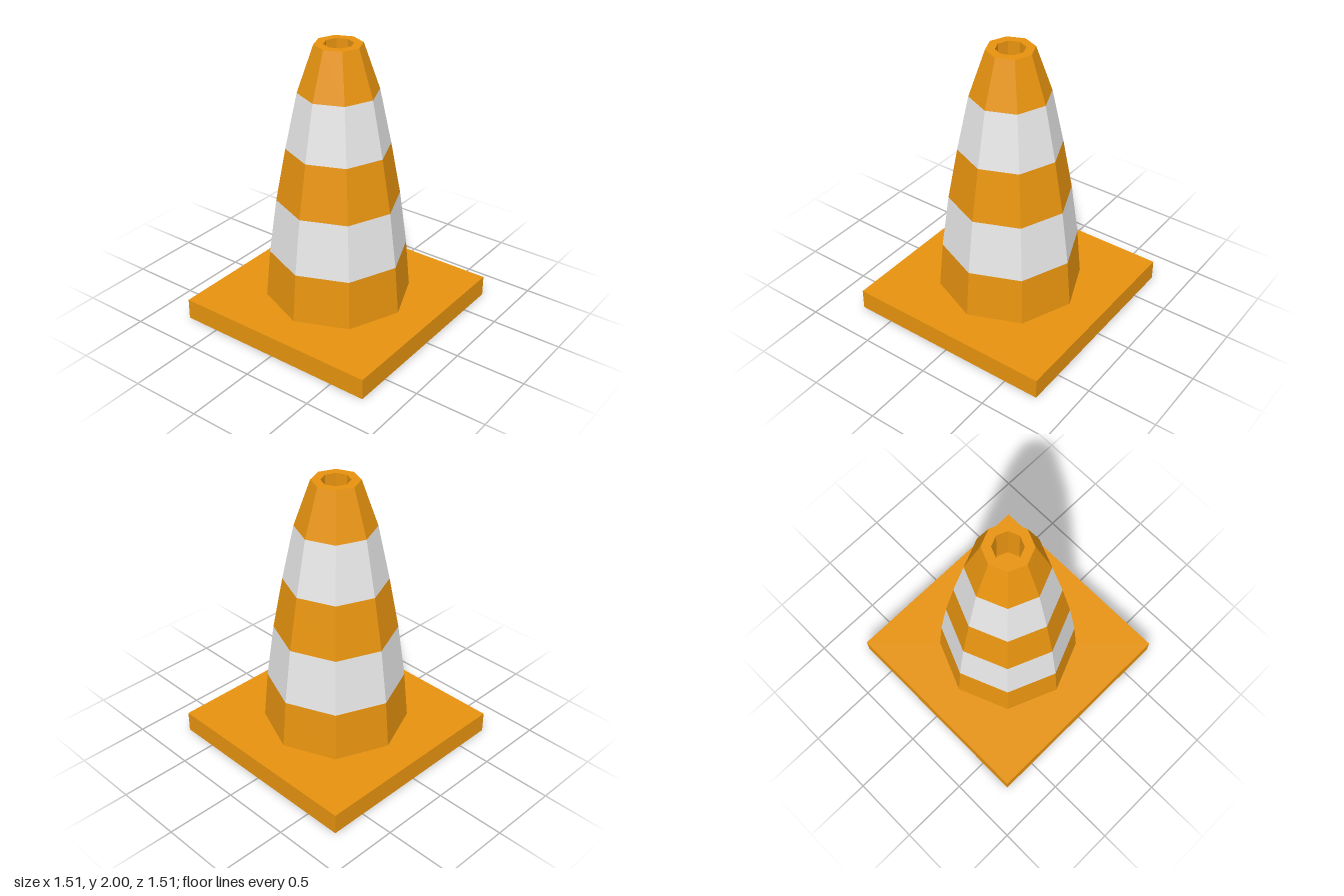
import * as THREE from 'three';

const SIDES = 8;

// Faceted ring swept from [radius, y] points, listed upwards along the outside
function facetedRing(points) {
  const profile = points.map(([r, y]) => new THREE.Vector2(r, y));
  const geometry = new THREE.LatheGeometry(profile, SIDES).toNonIndexed();
  geometry.computeVertexNormals();
  return geometry;
}

export function createModel() {
  const orange = new THREE.MeshStandardMaterial({ color: 0xe7930f });
  orange.name = 'orange';
  const white = new THREE.MeshStandardMaterial({ color: 0xe7e7e7 });
  white.name = 'white';

  const group = new THREE.Group();
  group.name = 'trafficCone';
  const add = (name, geometry, material) => {
    const mesh = new THREE.Mesh(geometry, material);
    mesh.name = name;
    group.add(mesh);
    return mesh;
  };

  // Square foot plate
  add('base', new THREE.BoxGeometry(1.51, 0.15, 1.51), orange).position.y = 0.075;

  // Bulging cone body, in alternating bands
  const profile = [[0.513, 0.15], [0.482, 0.5], [0.428, 0.9], [0.358, 1.28], [0.275, 1.675], [0.163, 2]];
  const names = ['lowerBand', 'lowerStripe', 'middleBand', 'upperStripe', 'tip'];
  names.forEach((name, i) => {
    const points = [profile[i], profile[i + 1]];
    // The tip carries the rim and the hole
    if (name === 'tip') points.push([0.1, 2], [0.1, 1.68], [0, 1.68]);
    add(name, facetedRing(points), i % 2 ? white : orange);
  });

  return group;
}
